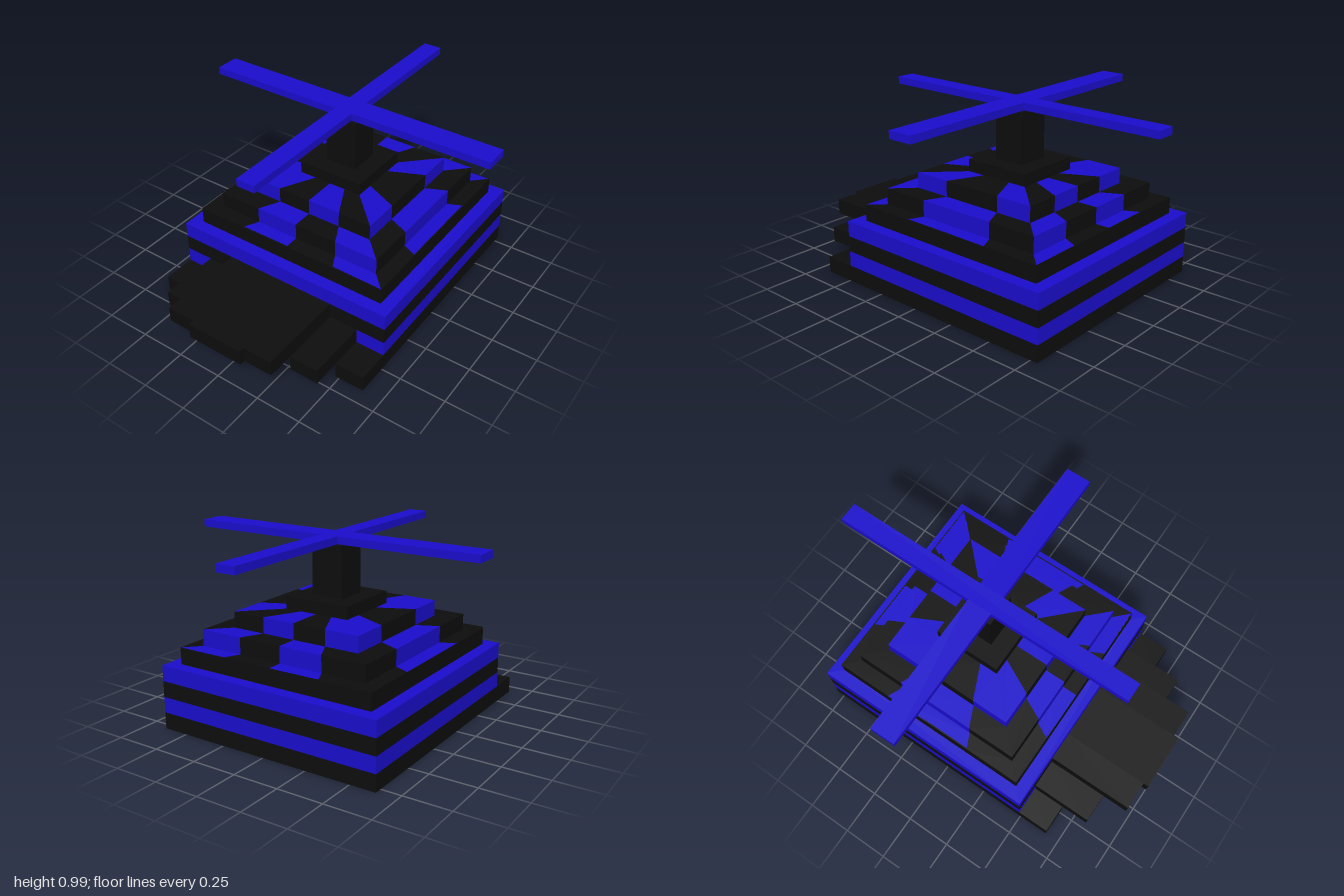
import * as THREE from 'three';

const black = new THREE.MeshStandardMaterial({ color: 0x0d0d0d, flatShading: true, side: THREE.DoubleSide });
const blue = new THREE.MeshStandardMaterial({ color: 0x1a0dcc, flatShading: true, side: THREE.DoubleSide });

const CZ = -0.15; // centre of the body in z

function add(parent, name, geometry, material) {
  const mesh = new THREE.Mesh(geometry, material);
  mesh.name = name;
  parent.add(mesh);
  return mesh;
}

// Box given by its limits on each axis
function box(parent, name, material, [x0, x1], [y0, y1], [z0, z1]) {
  const mesh = add(parent, name, new THREE.BoxGeometry(x1 - x0, y1 - y0, z1 - z0), material);
  mesh.position.set((x0 + x1) / 2, (y0 + y1) / 2, (z0 + z1) / 2);
}

// Square frame with a square opening
function frame(parent, name, material, outer, inner, y0, y1) {
  const square = (r) => [[-r, -r], [r, -r], [r, r], [-r, r]].map(([x, y]) => new THREE.Vector2(x, y));
  const shape = new THREE.Shape(square(outer));
  shape.holes.push(new THREE.Path(square(inner)));
  const geometry = new THREE.ExtrudeGeometry(shape, { depth: y1 - y0, bevelEnabled: false });
  geometry.rotateX(-Math.PI / 2);
  add(parent, name, geometry, material).position.y = y0;
}

// Stepped roof panel: a (radius, height) profile spread between two fractions of the side
function panel(profile, f0, f1) {
  const positions = [];
  for (let i = 0; i < profile.length - 1; i++) {
    const [r0, y0] = profile[i];
    const [r1, y1] = profile[i + 1];
    const a = [f0 * r0, y0, r0], b = [f1 * r0, y0, r0];
    const c = [f1 * r1, y1, r1], d = [f0 * r1, y1, r1];
    positions.push(...a, ...b, ...c, ...a, ...c, ...d);
  }
  const geometry = new THREE.BufferGeometry();
  geometry.setAttribute('position', new THREE.Float32BufferAttribute(positions, 3));
  geometry.computeVertexNormals();
  return geometry;
}

export function createModel() {
  const model = new THREE.Group();
  model.name = 'steppedPavilion';
  const body = new THREE.Group();
  body.name = 'body';
  body.position.z = CZ;
  model.add(body);

  // Striped hollow base and its dark lining, which rises to the first roof step
  const levels = [0, 0.09, 0.175, 0.262, 0.347];
  for (let i = 0; i < 4; i++) {
    frame(body, 'baseLayer', i % 2 ? blue : black, 0.64, 0.572, levels[i], levels[i + 1]);
  }
  frame(body, 'innerWall', black, 0.572, 0.566, 0, 0.437);

  // Chequered stepped roof: four panels front and back, three on the sides
  const tiers = [
    [[0.572, 0.437], [0.49, 0.437], [0.49, 0.525], [0.375, 0.525]],
    [[0.375, 0.525], [0.375, 0.61], [0.185, 0.61]],
  ];
  for (let side = 0; side < 4; side++) {
    const splits = side % 2 ? [-1, -0.45, 0.45, 1] : [-1, -0.5, 0, 0.5, 1];
    const flip = side === 2 ? 1 : 0;
    tiers.forEach((profile, tier) => {
      for (let i = 0; i < splits.length - 1; i++) {
        const material = (i + tier + flip) % 2 ? blue : black;
        add(body, 'roofPanel', panel(profile, splits[i], splits[i + 1]), material)
          .rotation.y = side * Math.PI / 2;
      }
    });
  }

  // Cap and mast
  box(body, 'roofCap', black, [-0.187, 0.187], [0.608, 0.677], [-0.187, 0.187]);
  box(body, 'mast', black, [-0.09, 0.09], [0.677, 0.953], [-0.087, 0.087]);

  // Crossed rotor blades
  box(body, 'longBlade', blue, [-0.052, 0.052], [0.953, 0.993], [-0.85, 0.85]);
  for (const s of [-1, 1]) {
    const span = s < 0 ? [-0.835, -0.052] : [0.052, 0.835];
    box(body, 'sideBlade', blue, span, [0.953, 0.993], [-0.068, 0.068]);
  }

  // Front wall panel and the fan of rising slabs
  box(model, 'frontPanel', black, [-0.48, 0.48], [0.09, 0.175], [0.48, 0.494]);
  const reach = [0.67, 0.825, 0.97];
  for (let i = 0; i < 3; i++) {
    const inner = 0.48 - 0.16 * i;
    const outer = inner + 0.16;
    for (const xs of [[inner, outer], [-outer, -inner]]) {
      box(model, 'frontSlab', black, xs, [levels[i], levels[i + 1]], [0.49, reach[i]]);
    }
  }
  box(model, 'frontCentreSlab', black, [-0.16, 0.16], [levels[2], levels[3]], [0.49, 1]);

  return model;
}
